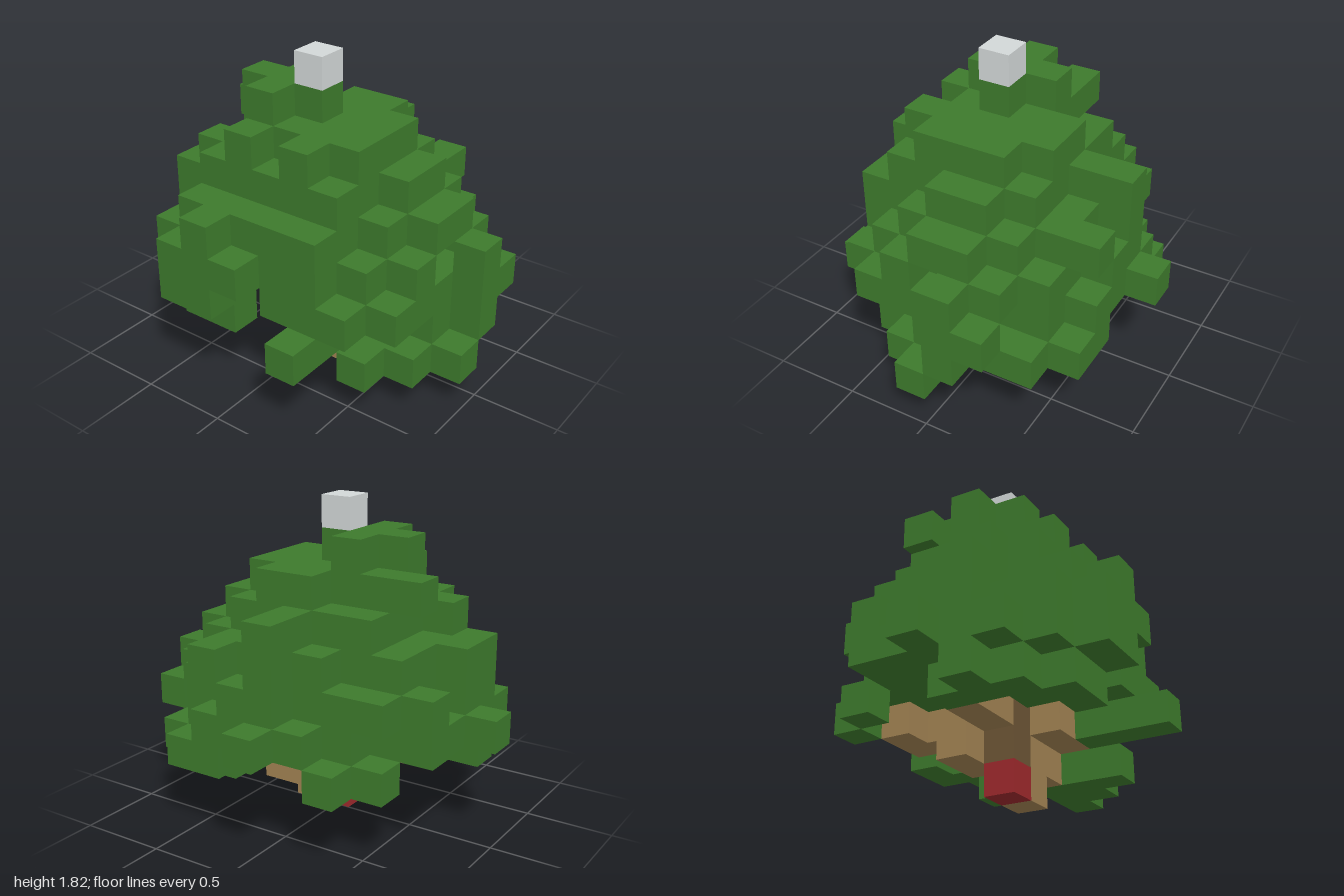
import * as THREE from 'three';
import { mergeGeometries } from 'three/addons/utils/BufferGeometryUtils.js';

const U = 2 / 11; // cube size
const key = (x, y, z) => `${x},${y},${z}`;

// repeatable jitter in -0.5..0.5 for the ragged leaf edge
const jitter = (x, y, z) => {
  const s = Math.sin(x * 12.99 + y * 78.23 + z * 37.72) * 43758.55;
  return s - Math.floor(s) - 0.5;
};

function buildCells() {
  const cells = new Map();
  const fill = (part, x0, x1, y0, y1, z0, z1) => {
    for (let x = x0; x <= x1; x++)
      for (let y = y0; y <= y1; y++)
        for (let z = z0; z <= z1; z++)
          if (part) cells.set(key(x, y, z), { part, x, y, z });
          else cells.delete(key(x, y, z));
  };

  // leaf tiers: level, radius, hollow radius, x range, z range
  const tiers = [
    [3, 4.5, 1.2, -4, 5, -4, 3],
    [4, 4.2, 0, -4, 5, -4, 3],
    [5, 3.8, 0, -4, 4, -4, 3],
    [6, 3.05, 0, -3, 3, -3, 2],
    [7, 2.3, 0, -2, 2, -2, 2],
  ];
  for (const [y, r, hollow, x0, x1, z0, z1] of tiers)
    for (let x = x0; x <= x1; x++)
      for (let z = z0; z <= z1; z++) {
        const d = Math.hypot(x, z);
        if (d < r + 0.8 * jitter(x, y, z) && d >= hollow) fill('canopy', x, x, y, y, z, z);
      }

  // hanging leaves under the canopy: x range, z range on levels 2 and 1
  const hanging = {
    2: [
      [2, 2, 4, 4], [-2, -1, 3, 3], [2, 2, 3, 3], [-3, -2, 2, 2], [2, 2, 2, 2],
      [-4, -3, 1, 1], [-3, -3, 0, 0], [3, 4, 0, 0], [4, 5, -1, -1],
      [3, 4, -2, -2], [-3, -3, -3, -3], [3, 4, -3, -3], [-2, -2, -4, -4], [2, 3, -4, -4],
    ],
    1: [[3, 3, 1, 2], [4, 4, 1, 1], [3, 5, 0, 0], [3, 3, -2, -1]],
  };
  for (const [y, runs] of Object.entries(hanging))
    for (const [x0, x1, z0, z1] of runs) fill('canopy', x0, x1, +y, +y, z0, z1);

  // protruding leaf clumps
  const clumps = [
    [-2, -2, 8, 8, 0, 0], [-1, -1, 8, 8, -1, 1], [0, 0, 8, 8, 0, 0],
    [-3, -3, 7, 7, -1, -1], [2, 2, 7, 7, -1, -1], [-1, -1, 7, 7, 2, 2], [1, 1, 7, 7, -2, -2],
    [0, 0, 6, 6, -4, -4], [3, 3, 6, 6, -1, 0], [-3, -3, 6, 6, 1, 1], [0, 0, 6, 6, 2, 2],
    [-1, -1, 5, 5, 4, 4], [2, 2, 5, 5, -4, -3], [4, 4, 5, 5, -1, 0], [-4, -4, 5, 5, 0, 1],
    [-2, -1, 4, 4, 4, 4], [5, 5, 4, 4, -1, -1], [0, 0, 4, 4, 4, 4],
    [-5, -5, 3, 3, 0, 0], [5, 5, 3, 3, -2, -1], [0, 0, 3, 3, -5, -4],
    [-4, -4, 3, 3, 2, 2], [-2, -1, 3, 3, 4, 4], [3, 3, 3, 3, 3, 3],
  ];
  for (const c of clumps) fill('canopy', ...c);

  // notches in the leaf edge and the opening in front of the trunk
  fill(null, 3, 3, 4, 4, 3, 3);
  fill(null, -1, -1, 4, 4, -4, -4);
  fill(null, 0, 0, 3, 3, 1, 4);

  // trunk and branches
  fill('trunk', 0, 0, 3, 7, 0, 0);
  fill('trunk', 0, 0, 3, 3, 1, 1);
  fill('trunk', 0, 1, 3, 3, -1, -1);
  fill('trunk', 1, 1, 0, 2, 0, 0);
  fill('trunk', 2, 2, 1, 1, 0, 0);
  fill('trunk', 1, 2, 2, 2, 1, 1);
  fill('trunk', -1, 0, 1, 1, -1, -1);
  fill('trunk', -2, -1, 2, 2, 0, 0);
  fill('trunk', 0, 0, 2, 2, -2, -1);
  fill('trunk', -1, 0, 2, 2, -3, -3);
  fill('darkTrunkCore', 0, 0, 1, 2, 0, 0);
  fill('baseBlock', 0, 0, 0, 0, 0, 0);
  fill('topBlock', 0, 0, 9, 9, 0, 0);
  return cells;
}

// the six cube sides: neighbour direction and the rotation of a +z plane
const H = Math.PI / 2;
const sides = [
  [0, 0, 1, 0, 0], [0, 0, -1, 0, 2 * H], [1, 0, 0, 0, H],
  [-1, 0, 0, 0, -H], [0, 1, 0, -H, 0], [0, -1, 0, H, 0],
];

export function createModel() {
  const group = new THREE.Group();
  group.name = 'blockTree';
  const cells = buildCells();

  const colours = {
    canopy: ['leafGreen', 0x3d7a2c],
    trunk: ['barkBrown', 0xa18252],
    darkTrunkCore: ['darkBark', 0x6d5535],
    baseBlock: ['red', 0x9d292c],
    topBlock: ['paleGrey', 0xd2d7d7],
  };

  for (const [part, [colourName, color]] of Object.entries(colours)) {
    // outer faces of the cubes only
    const faces = [];
    for (const c of cells.values()) {
      if (c.part !== part) continue;
      for (const [dx, dy, dz, rx, ry] of sides) {
        if (cells.has(key(c.x + dx, c.y + dy, c.z + dz))) continue;
        faces.push(new THREE.PlaneGeometry(U, U).rotateX(rx).rotateY(ry).translate(
          (c.x + dx / 2) * U, (c.y + 0.5 + dy / 2) * U, (c.z + 0.5 + dz / 2) * U));
      }
    }
    const material = new THREE.MeshStandardMaterial({ color });
    material.name = colourName;
    const mesh = new THREE.Mesh(mergeGeometries(faces), material);
    mesh.name = part;
    group.add(mesh);
  }
  return group;
}
